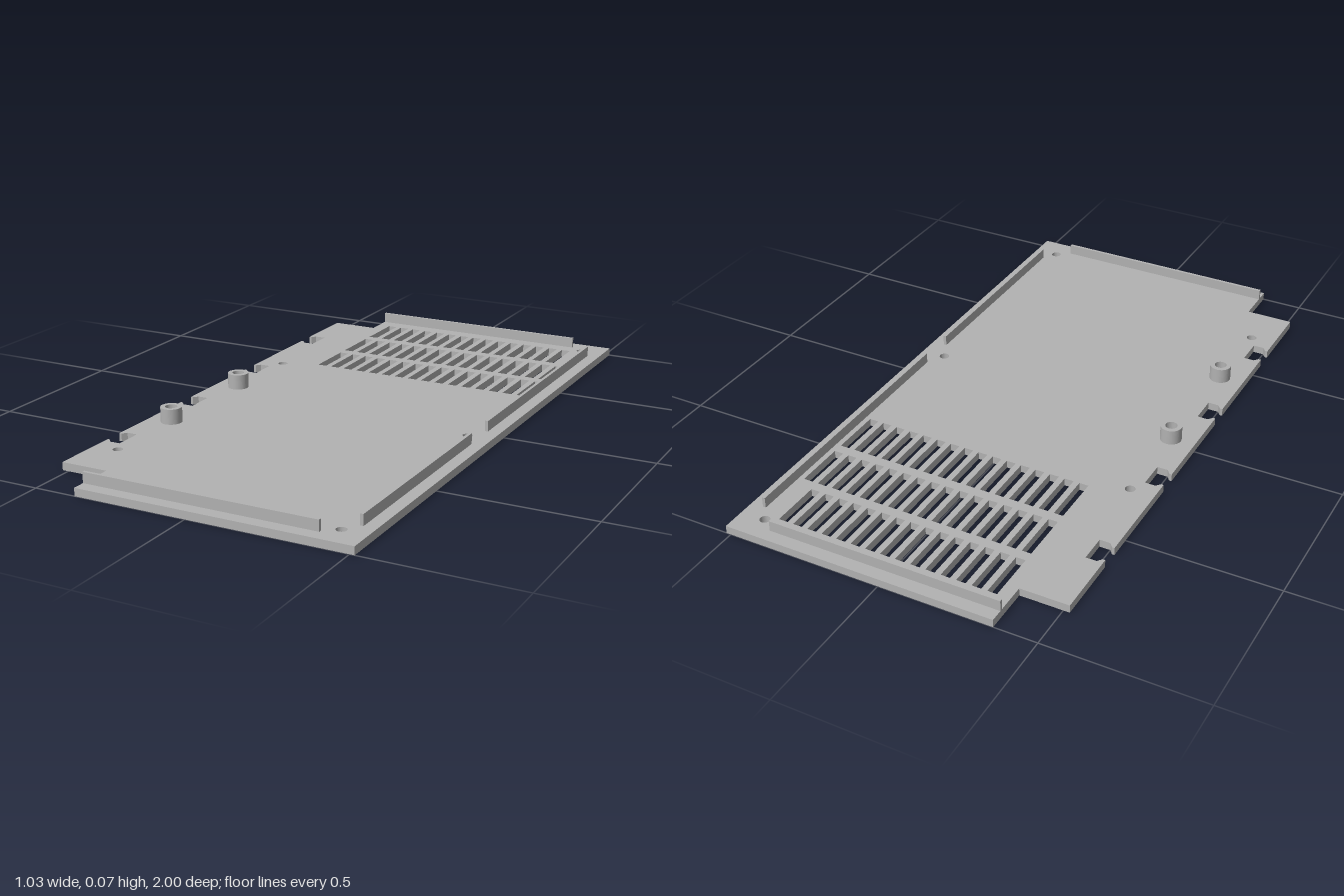
import * as THREE from 'three';

const T = 0.025; // plate thickness

function rectHole(x0, x1, z0, z1) {
  return new THREE.Path([[x0, z0], [x1, z0], [x1, z1], [x0, z1]].map(p => new THREE.Vector2(...p)));
}

function roundHole(x, z, r) {
  return new THREE.Path().absarc(x, z, r, 0, Math.PI * 2, true);
}

export function createModel() {
  const group = new THREE.Group();
  const grey = new THREE.MeshStandardMaterial({ color: 0xb2b2b2 });
  grey.name = 'grey';

  function add(name, geometry, x = 0, y = 0, z = 0) {
    const mesh = new THREE.Mesh(geometry, grey);
    mesh.name = name;
    mesh.position.set(x, y, z);
    group.add(mesh);
  }

  // Plate outline, drawn in x and z, with hooked notches along the -x edge
  const outline = [[-0.365, -1], [0.515, -1], [0.515, 1], [-0.365, 1], [-0.365, 0.85], [-0.52, 0.85]];
  for (const c of [0.597, 0.197, -0.204, -0.604]) {
    outline.push([-0.52, c + 0.03], [-0.512, c + 0.03], [-0.5, c + 0.045], [-0.466, c + 0.045],
      [-0.466, c - 0.045], [-0.5, c - 0.045], [-0.512, c - 0.03], [-0.52, c - 0.03]);
  }
  outline.push([-0.52, -0.853], [-0.365, -0.853]);
  const shape = new THREE.Shape(outline.map(p => new THREE.Vector2(...p)));

  // Ventilation slots: the rear row is one slot shorter
  [[-0.902, -0.738, 15], [-0.705, -0.541, 16], [-0.508, -0.342, 16]].forEach(([z0, z1, count]) => {
    for (let i = 0; i < count; i++) {
      const x = -0.323 + i * 0.0494;
      shape.holes.push(rectHole(x, x + 0.03, z0, z1));
    }
  });

  // Screw holes
  for (const [x, z] of [[0.434, -0.922], [0.434, 0.095], [0.434, 0.918], [-0.44, -0.298], [-0.44, 0.687]]) {
    shape.holes.push(roundHole(x, z, 0.016));
  }
  const plate = new THREE.ExtrudeGeometry(shape, { depth: T, bevelEnabled: false, curveSegments: 20 });
  plate.rotateX(Math.PI / 2).translate(0, T, 0);
  add('plate', plate);

  // Upright ribs near the edges
  const ribHeight = 0.034;
  const ribY = T + ribHeight / 2;
  for (const [name, z] of [['frontRib', 0.954], ['rearRib', -0.954]]) {
    add(name, new THREE.BoxGeometry(0.755, ribHeight, 0.01), 0.0125, ribY, z);
  }
  for (const [name, z0, z1] of [['sideRibRear', -0.875, 0.035], ['sideRibFront', 0.16, 0.872]]) {
    add(name, new THREE.BoxGeometry(0.01, ribHeight, z1 - z0), 0.47, ribY, (z0 + z1) / 2);
  }

  // Hollow standoffs
  const ring = new THREE.Shape().absarc(0, 0, 0.034, 0, Math.PI * 2, false);
  ring.holes.push(roundHole(0, 0, 0.019));
  const standoff = new THREE.ExtrudeGeometry(ring, { depth: 0.049, bevelEnabled: false, curveSegments: 32 });
  standoff.rotateX(-Math.PI / 2);
  for (const z of [0, 0.4]) add('standoff', standoff, -0.44, T, z);

  return group;
}
